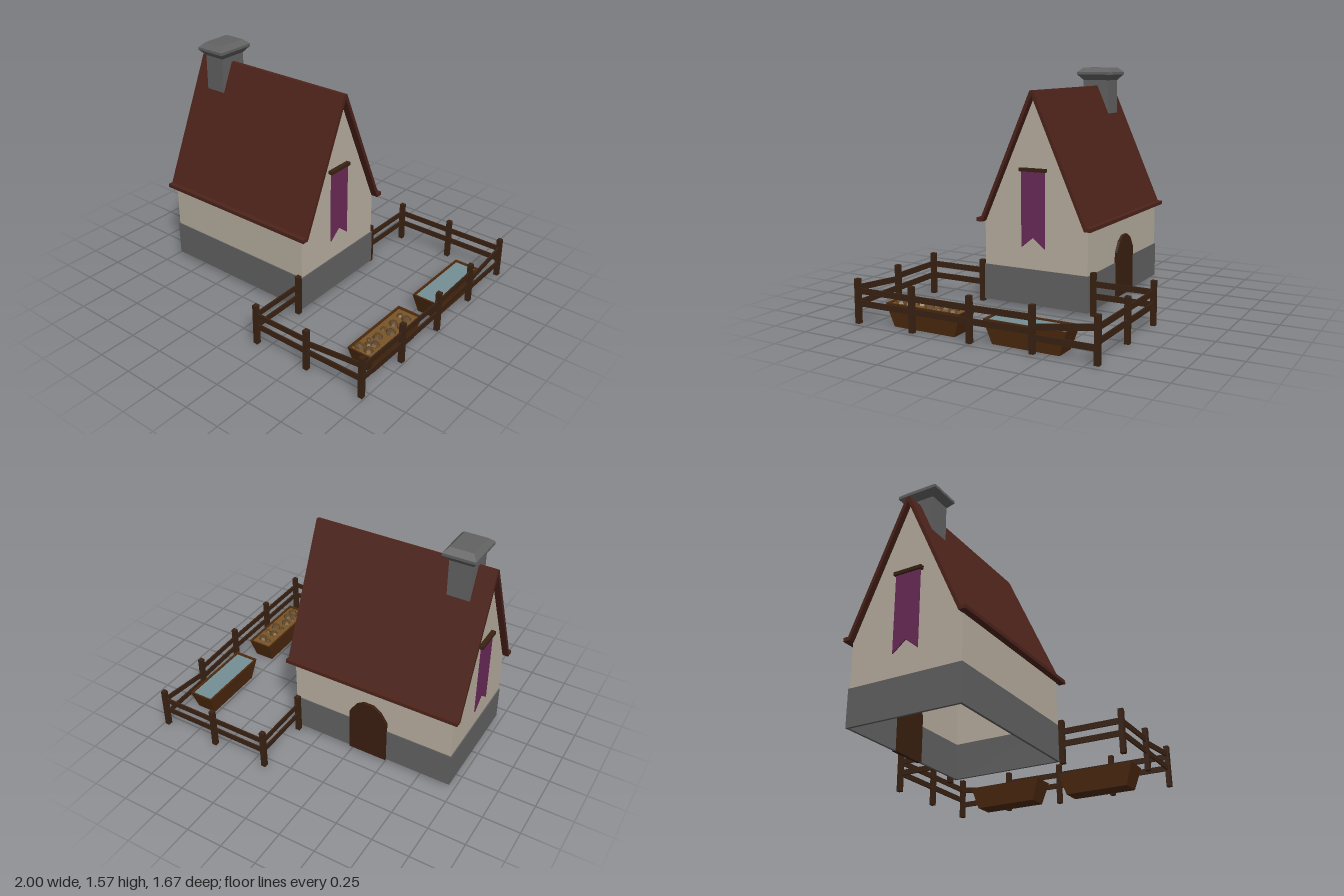
import * as THREE from 'three';

const mat = (color) => new THREE.MeshStandardMaterial({ color, flatShading: true, side: THREE.DoubleSide });

export function createModel() {
  const root = new THREE.Group();
  const M = {
    wall: mat(0xb8ae9f), stone: mat(0x626262), roof: mat(0x4d231b), wood: mat(0x3a2213),
    trough: mat(0x4e2a0e), water: mat(0x748f96), feed: mat(0x7a5528), lump: mat(0x5f4424),
    banner: mat(0x6a2a58), door: mat(0x3a1f10),
  };

  const add = (parent, name, geometry, material) => {
    const mesh = new THREE.Mesh(geometry, material);
    mesh.name = name;
    parent.add(mesh);
    return mesh;
  };
  const group = (name) => {
    const g = new THREE.Group();
    g.name = name;
    root.add(g);
    return g;
  };

  // Box given by its limits
  const box = (x0, x1, y0, y1, z0, z1) =>
    new THREE.BoxGeometry(x1 - x0, y1 - y0, z1 - z0).translate((x0 + x1) / 2, (y0 + y1) / 2, (z0 + z1) / 2);

  // Profile of [z, y] points swept along x
  const sweepX = (points, x0, x1) => {
    const shape = new THREE.Shape(points.map(([z, y]) => new THREE.Vector2(-z, y)));
    return new THREE.ExtrudeGeometry(shape, { depth: x1 - x0, bevelEnabled: false })
      .rotateY(Math.PI / 2).translate(x0, 0, 0);
  };

  // Loft through rectangles [y, half width, half depth], capped at both ends
  const loft = (rings) => {
    const pos = [];
    const corners = rings.map(([y, w, d]) => [[-w, y, d], [w, y, d], [w, y, -d], [-w, y, -d]]);
    const quad = (a, b, c, d) => pos.push(...a, ...b, ...c, ...a, ...c, ...d);
    for (let k = 0; k + 1 < corners.length; k++) {
      for (let i = 0; i < 4; i++) {
        const j = (i + 1) % 4;
        quad(corners[k][i], corners[k][j], corners[k + 1][j], corners[k + 1][i]);
      }
    }
    quad(...[...corners[0]].reverse());
    quad(...corners[corners.length - 1]);
    const g = new THREE.BufferGeometry();
    g.setAttribute('position', new THREE.Float32BufferAttribute(pos, 3));
    g.computeVertexNormals();
    return g;
  };

  // Hollow house, open underneath
  const house = group('house');
  const gable = [[0.38, 0.27], [0.38, 0.565], [0.374, 0.575], [0, 1.41], [-0.374, 0.575], [-0.38, 0.565], [-0.38, 0.27]];
  add(house, 'leftGable', sweepX(gable, 0.17, 0.18), M.wall);
  add(house, 'rightGable', sweepX(gable, -0.96, -0.95), M.wall);
  add(house, 'frontWall', box(-0.95, 0.17, 0.27, 0.57, 0.37, 0.38), M.wall);
  add(house, 'backWall', box(-0.95, 0.17, 0.27, 0.57, -0.38, -0.37), M.wall);

  // Stone base band
  add(house, 'frontBase', box(-0.967, 0.187, 0.03, 0.27, 0.37, 0.386), M.stone);
  add(house, 'backBase', box(-0.967, 0.187, 0.03, 0.27, -0.386, -0.37), M.stone);
  add(house, 'leftBase', box(0.17, 0.187, 0.03, 0.27, -0.37, 0.37), M.stone);
  add(house, 'rightBase', box(-0.967, -0.95, 0.03, 0.27, -0.37, 0.37), M.stone);

  // Steep roof with flat eaves
  const outer = [[0.012, 1.44], [0.388, 0.59], [0.422, 0.59], [0.422, 0.565], [0.376, 0.565]];
  const mirrored = outer.map(([z, y]) => [-z, y]).reverse();
  add(house, 'roof', sweepX([...outer, [0, 1.408], ...mirrored], -1, 0.23), M.roof);

  // Chimney with flared cap
  const chimney = group('chimney');
  add(chimney, 'chimneyStack', box(-0.88, -0.73, 1.21, 1.48, -0.1, 0.1), M.stone);
  add(chimney, 'chimneyCap', loft([[1.48, 0.076, 0.1], [1.52, 0.107, 0.138], [1.538, 0.107, 0.138], [1.57, 0.076, 0.102]]), M.stone)
    .position.x = -0.805;

  // Swallow-tailed banner on each gable
  const cloth = [[0.095, 0.93], [0.095, 0.415], [0.01, 0.485], [-0.077, 0.415], [-0.077, 0.93]];
  for (const [name, x, s] of [['leftBanner', 0.18, 1], ['rightBanner', -0.96, -1]]) {
    const g = group(name);
    const near = x + s * 0.01, far = x + s * 0.017;
    add(g, 'bannerCloth', sweepX(cloth, Math.min(near, far), Math.max(near, far)), M.banner);
    add(g, 'bannerRod', box(Math.min(x, x + s * 0.03), Math.max(x, x + s * 0.03), 0.918, 0.94, -0.086, 0.107), M.wood);
  }

  // Arched back door
  const arch = new THREE.Shape();
  arch.moveTo(-0.135, 0.03);
  [[0.135, 0.03], [0.135, 0.34], [0.09, 0.41], [0.035, 0.445], [-0.035, 0.445], [-0.09, 0.41], [-0.135, 0.34]]
    .forEach(([x, y]) => arch.lineTo(x, y));
  add(house, 'door', new THREE.ExtrudeGeometry(arch, { depth: 0.03, bevelEnabled: false }), M.door)
    .position.set(-0.375, 0, -0.398);

  // Fence: posts in order around the pen, two rails between neighbours
  const fence = group('fence');
  const posts = [
    [0.175, 0.41], [0.175, 0.815], [0.575, 0.815], [0.982, 0.81], [0.982, 0.4], [0.98, -0.008],
    [0.968, -0.418], [0.965, -0.82], [0.56, -0.82], [0.158, -0.82], [0.158, -0.41],
  ];
  const railHeights = posts.map(() => [[0.22, 0.22], [0.14, 0.14]]);
  railHeights[2] = [[0.2, 0.238], [0.14, 0.14]];
  railHeights[6] = [[0.165, 0.222], [0.105, 0.105]];
  const rail = (a, b, ya, yb) => {
    const from = new THREE.Vector3(a[0], ya, a[1]), to = new THREE.Vector3(b[0], yb, b[1]);
    const mesh = add(fence, 'rail', new THREE.BoxGeometry(0.01, 0.038, from.distanceTo(to)), M.wood);
    mesh.position.copy(from).lerp(to, 0.5);
    mesh.lookAt(to);
  };
  posts.forEach(([x, z], i) => {
    add(fence, 'post', box(x - 0.016, x + 0.016, 0.01, 0.295, z - 0.016, z + 0.016), M.wood);
    if (i + 1 < posts.length) railHeights[i].forEach(([ya, yb]) => rail(posts[i], posts[i + 1], ya, yb));
  });

  // Tapered troughs, one with water and one with feed
  const troughShape = [[0, 0.07, 0.222], [0.15, 0.088, 0.272], [0.15, 0.076, 0.26], [0.125, 0.072, 0.25]];
  for (const [name, z, fill] of [['waterTrough', -0.338, M.water], ['feedTrough', 0.368, M.feed]]) {
    const g = group(name);
    g.position.set(0.838, 0, z);
    add(g, 'troughBody', loft(troughShape), M.trough);
    add(g, 'troughFill', loft([[0.126, 0.072, 0.25], [0.14, 0.0745, 0.256]]), fill);
  }

  // Rounded lumps of feed: x, z, radius
  const feed = group('feedLumps');
  [[0.81, 0.17, 0.024], [0.865, 0.18, 0.034], [0.828, 0.267, 0.034], [0.882, 0.273, 0.022], [0.81, 0.35, 0.023],
    [0.866, 0.35, 0.036], [0.828, 0.437, 0.035], [0.802, 0.493, 0.018], [0.86, 0.51, 0.034], [0.826, 0.53, 0.026],
    [0.795, 0.58, 0.035], [0.862, 0.578, 0.033]].forEach(([x, z, r], i) => {
    const lump = add(feed, 'lump', new THREE.SphereGeometry(r, 7, 4), M.lump);
    lump.position.set(x, 0.14, z);
    lump.scale.y = 0.7;
    lump.rotation.set(0.2 * Math.sin(i * 2), i * 1.3, 0.2 * Math.cos(i * 3));
  });

  return root;
}
